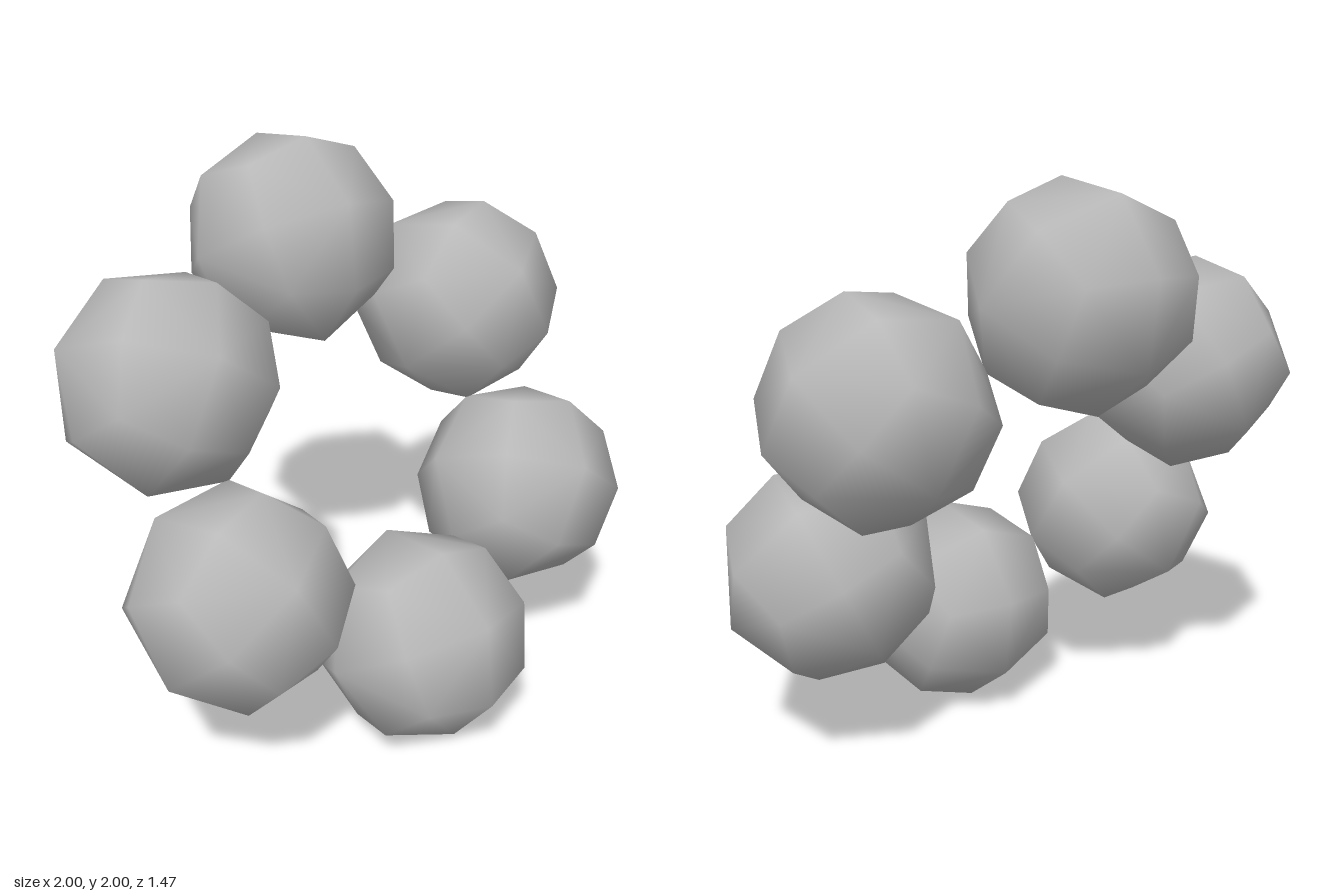
import * as THREE from 'three';

// Ball made from a cube with 2 x 2 cells per side, pushed out onto a sphere
function ballGeometry(radius) {
  const geometry = new THREE.BoxGeometry(2, 2, 2, 2, 2, 2);
  const position = geometry.attributes.position;
  const normal = geometry.attributes.normal;
  const v = new THREE.Vector3();
  const isEdgeMiddle = (i) =>
    [position.getX(i), position.getY(i), position.getZ(i)].filter((c) => Math.abs(c) > 0.5).length === 2;

  // Split every cell from the face centre to the cube corner
  const old = geometry.index.array;
  const index = [];
  for (let i = 0; i < old.length; i += 6) {
    const a = old[i], b = old[i + 1], d = old[i + 2], c = old[i + 4];
    if (isEdgeMiddle(b)) index.push(a, b, c, a, c, d);
    else index.push(a, b, d, b, c, d);
  }
  geometry.setIndex(index);

  // Round it off, with smooth normals
  for (let i = 0; i < position.count; i++) {
    v.fromBufferAttribute(position, i).normalize();
    normal.setXYZ(i, v.x, v.y, v.z);
    v.multiplyScalar(radius);
    position.setXYZ(i, v.x, v.y, v.z);
  }
  return geometry;
}

export function createModel() {
  const model = new THREE.Group();
  model.name = 'ballRing';
  const grey = new THREE.MeshStandardMaterial({ color: 0xb8b8b8 });
  grey.name = 'grey';

  const count = 6, ringRadius = 0.73, ballRadius = 0.381;
  const geometry = ballGeometry(ballRadius);

  // Ring leaning backwards, each ball turned to face outwards
  const ring = new THREE.Group();
  ring.name = 'ring';
  ring.position.y = 1;
  ring.rotation.x = -Math.PI / 6;
  for (let i = 0; i < count; i++) {
    const angle = (i / count) * Math.PI * 2;
    const ball = new THREE.Mesh(geometry, grey);
    ball.name = `ball${i + 1}`;
    ball.position.set(-Math.sin(angle) * ringRadius, Math.cos(angle) * ringRadius, 0);
    ball.rotation.z = angle;
    ring.add(ball);
  }
  model.add(ring);
  return model;
}
